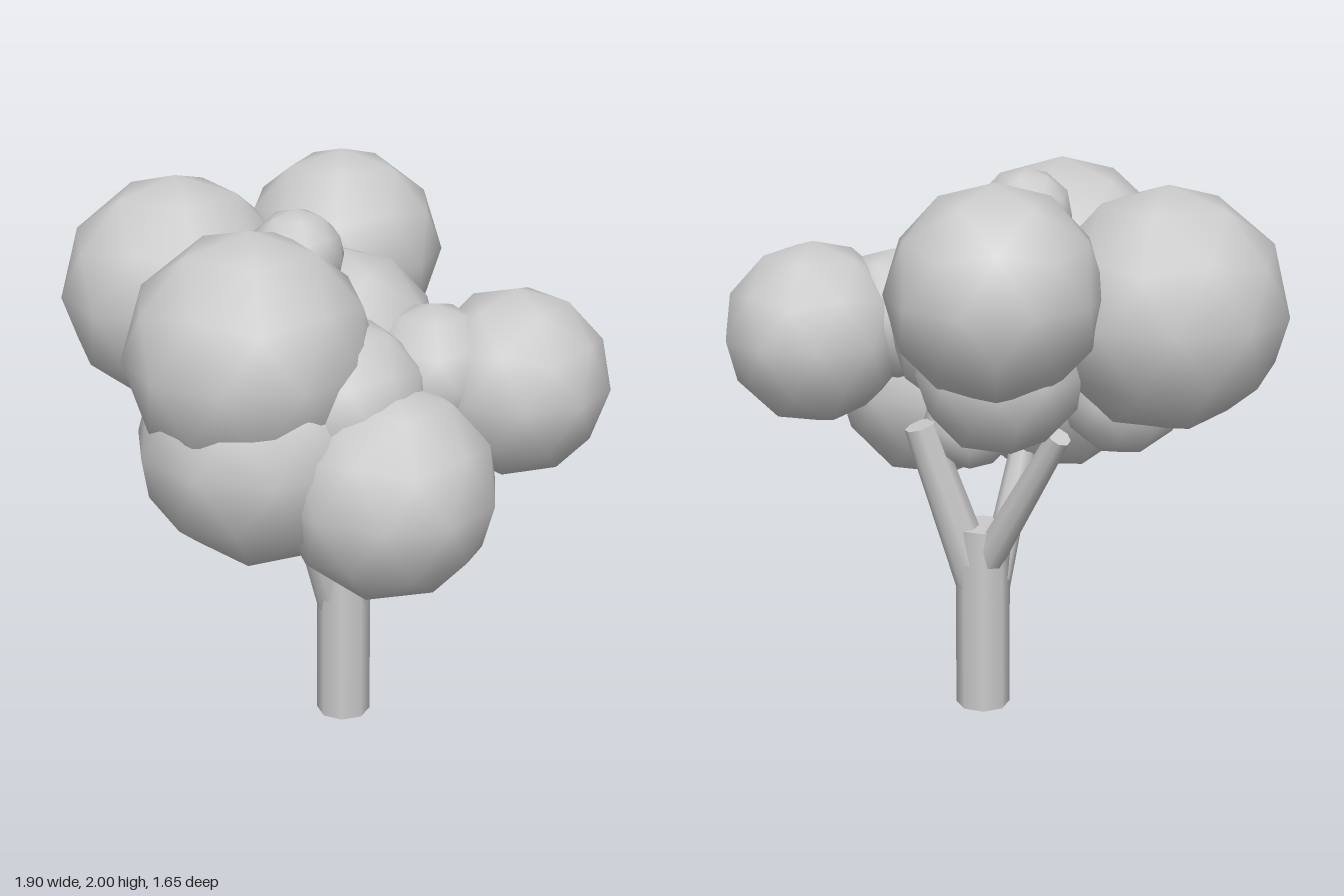
import * as THREE from 'three';

const material = new THREE.MeshStandardMaterial({ color: 0xcccccc });

// Rounded foliage clump: smooth-shaded low-poly ball with a vertex at the top
function clump(name, [x, y, z, r, yaw]) {
  const geo = new THREE.IcosahedronGeometry(r, 1);
  geo.rotateX(-Math.atan((1 + Math.sqrt(5)) / 2));
  geo.rotateY(yaw);
  const mesh = new THREE.Mesh(geo, material);
  mesh.name = name;
  mesh.position.set(x, y, z);
  return mesh;
}

// Tapered limb running from one point to another
function limb(name, from, to, r0, r1, sides = 8) {
  const a = new THREE.Vector3(...from);
  const b = new THREE.Vector3(...to);
  const dir = b.clone().sub(a);
  const mesh = new THREE.Mesh(new THREE.CylinderGeometry(r1, r0, dir.length(), sides), material);
  mesh.name = name;
  mesh.position.copy(a).add(b).multiplyScalar(0.5);
  mesh.quaternion.setFromUnitVectors(new THREE.Vector3(0, 1, 0), dir.normalize());
  return mesh;
}

export function createModel() {
  const tree = new THREE.Group();
  tree.name = 'tree';

  // Trunk and forking branches
  const wood = new THREE.Group();
  wood.name = 'trunkAndBranches';
  wood.add(
    limb('trunk', [0.055, 0, -0.015], [0.055, 0.685, -0.015], 0.097, 0.097),
    limb('leftBranch', [0.07, 0.46, -0.015], [0.27, 1.06, -0.02], 0.08, 0.06),
    limb('backBranch', [0.045, 0.55, -0.04], [-0.2, 1.1, -0.29], 0.06, 0.042),
    limb('frontBranch', [0.02, 0.43, -0.01], [-0.11, 1.0, 0.15], 0.06, 0.045),
  );
  tree.add(wood);

  // Foliage: x, y, z, radius, yaw
  const clumps = {
    backRightClump: [-0.55, 1.535, -0.26, 0.415, 0.3],
    backClump: [0.02, 1.64, -0.475, 0.36, 0],
    frontUpperClump: [-0.235, 1.515, 0.36, 0.42, 0.2],
    frontLowerClump: [-0.2, 1.215, 0.35, 0.425, 0.5],
    frontMiddleClump: [0.07, 1.36, 0.36, 0.29, 0.1],
    frontLowLeftClump: [0.225, 1.095, 0.465, 0.37, 0.3],
    leftClump: [0.64, 1.36, 0.125, 0.325, 0.4],
    leftInnerClump: [0.36, 1.41, 0.18, 0.235, 0.1],
    centreClump: [0.04, 1.43, 0, 0.345, 0.6],
    backLowerClump: [0, 1.355, -0.36, 0.285, 0.2],
    backRightLowerClump: [-0.42, 1.22, -0.17, 0.215, 0.5],
    topClump: [-0.1, 1.775, 0.11, 0.165, 0.3],
    forkClump: [0.1, 1.04, 0.06, 0.165, 0],
  };
  const foliage = new THREE.Group();
  foliage.name = 'foliage';
  for (const [name, spec] of Object.entries(clumps)) foliage.add(clump(name, spec));
  tree.add(foliage);

  return tree;
}
